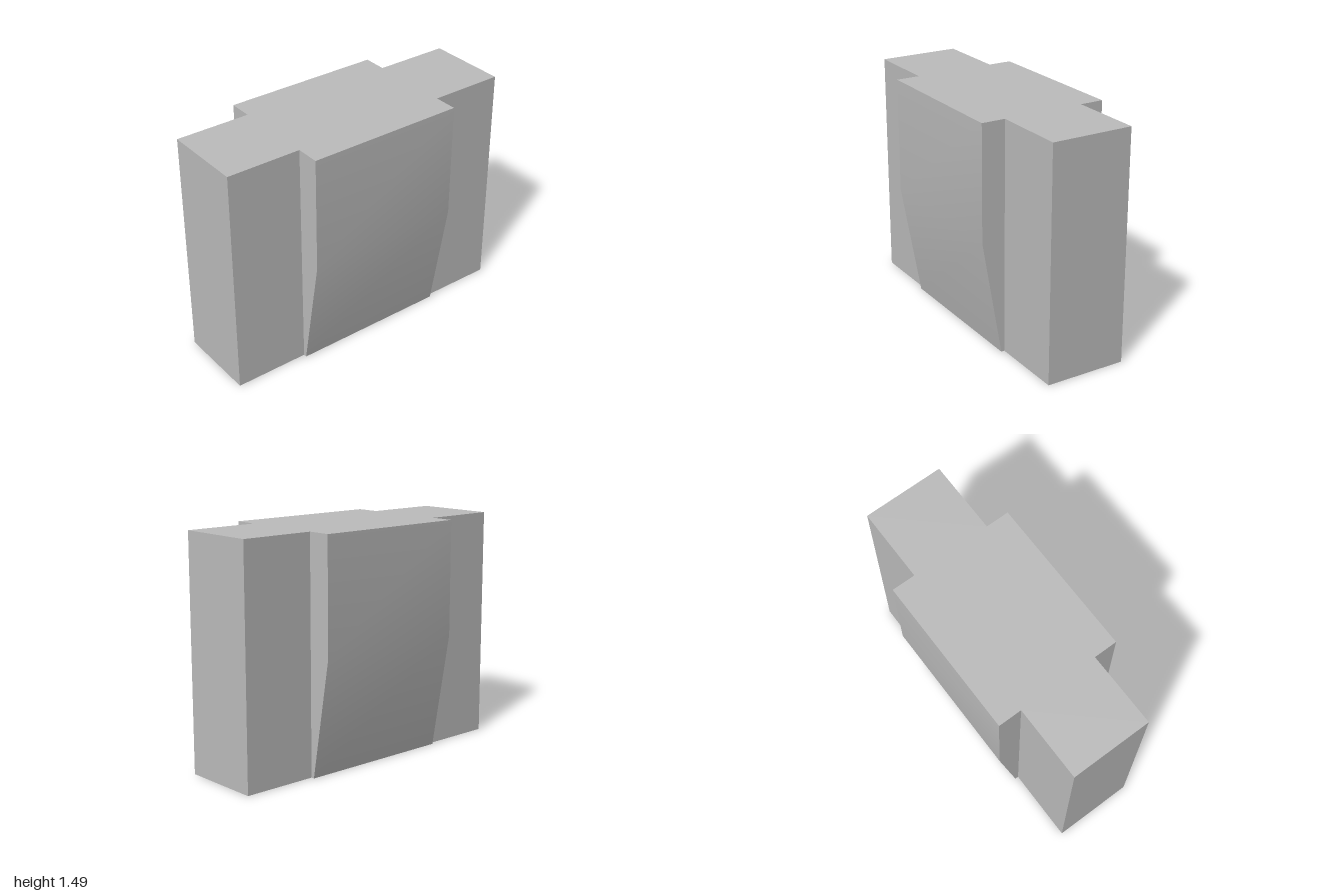
import * as THREE from 'three';
import { toCreasedNormals } from 'three/addons/utils/BufferGeometryUtils.js';

const HEIGHT = 1.493;
const CORE_HALF = 0.516;  // half width of the thick centre
const WING_DEPTH = 0.528;

export function createModel() {
  const model = new THREE.Group();
  model.name = 'taperedBlock';
  const grey = new THREE.MeshStandardMaterial({ color: 0xbcbcbc });
  grey.name = 'grey';

  // Thick centre: straight above, tapering to the foot, front and back alike
  const right = [[0.286, 0], [0.418, 0.753], [0.418, HEIGHT]];
  const left = right.map(([z, y]) => [-z, y]).reverse();
  const profile = new THREE.Shape([...right, ...left].map(([z, y]) => new THREE.Vector2(z, y)));
  const coreGeometry = new THREE.ExtrudeGeometry(profile, { depth: CORE_HALF * 2, bevelEnabled: false });
  coreGeometry.translate(0, 0, -CORE_HALF);
  coreGeometry.rotateY(Math.PI / 2);
  // The shallow bend is shaded smooth, all other edges stay sharp
  const core = new THREE.Mesh(toCreasedNormals(coreGeometry, Math.PI / 6), grey);
  core.name = 'taperedCore';
  model.add(core);

  // Thinner wing on each side
  const wingWidth = 1 - CORE_HALF;
  for (const side of [1, -1]) {
    const wing = new THREE.Mesh(new THREE.BoxGeometry(wingWidth, HEIGHT, WING_DEPTH), grey);
    wing.position.set(side * (CORE_HALF + wingWidth / 2), HEIGHT / 2, 0);
    wing.name = side > 0 ? 'leftWing' : 'rightWing';
    model.add(wing);
  }
  return model;
}
